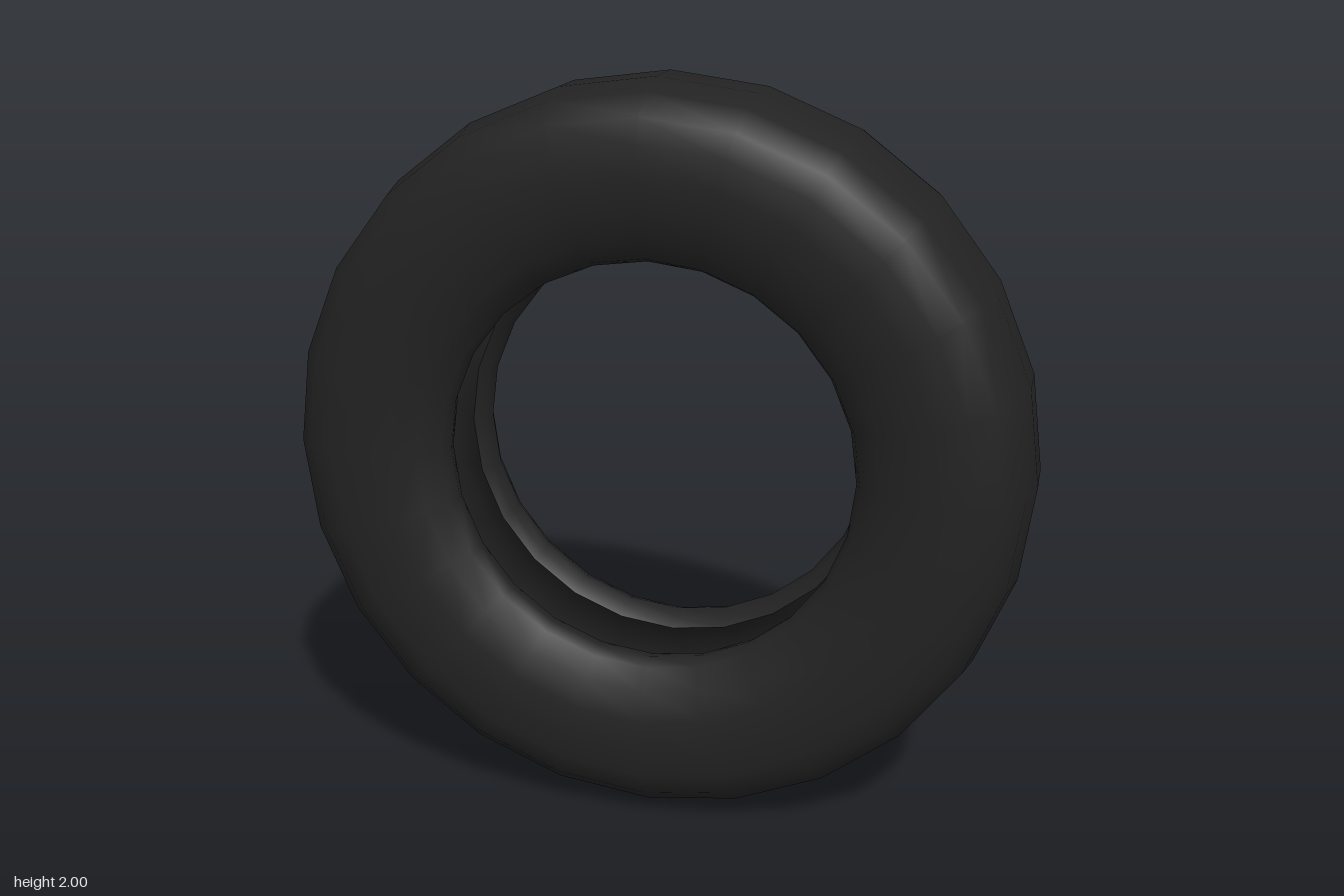
import * as THREE from 'three';

const SEGMENTS = 24;

// Mirrors a half profile of [radius, halfWidth] points (bead to crown) across the centre plane.
function mirrored(half) {
  const back = half.map(([r, w]) => new THREE.Vector2(r, -w));
  const front = half.map(([r, w]) => new THREE.Vector2(r, w)).reverse();
  return [...back, ...front];
}

function ring(name, points, material) {
  const geometry = new THREE.LatheGeometry(points, SEGMENTS);
  geometry.rotateX(Math.PI / 2);
  const mesh = new THREE.Mesh(geometry, material);
  mesh.name = name;
  mesh.position.y = 1;
  return mesh;
}

export function createModel() {
  const group = new THREE.Group();
  group.name = 'tire';
  const rubber = new THREE.MeshStandardMaterial({ color: 0x222222 });
  rubber.name = 'black rubber';

  // Tread, shoulders, sidewalls and rounded beads
  const outer = mirrored([
    [0.585, 0.1], [0.56, 0.125], [0.55, 0.165], [0.565, 0.205], [0.62, 0.245],
    [0.7, 0.27], [0.78, 0.275], [0.86, 0.268], [0.925, 0.247], [0.977, 0.185], [1, 0.07],
  ]);
  group.add(ring('outerCasing', outer, rubber));

  // Hollow inside, running the other way so that it faces the axle
  const inner = mirrored([
    [0.585, 0.1], [0.62, 0.15], [0.68, 0.2], [0.76, 0.22], [0.84, 0.21], [0.9, 0.15], [0.925, 0.06],
  ]).reverse();
  group.add(ring('innerLiner', inner, rubber));

  return group;
}
